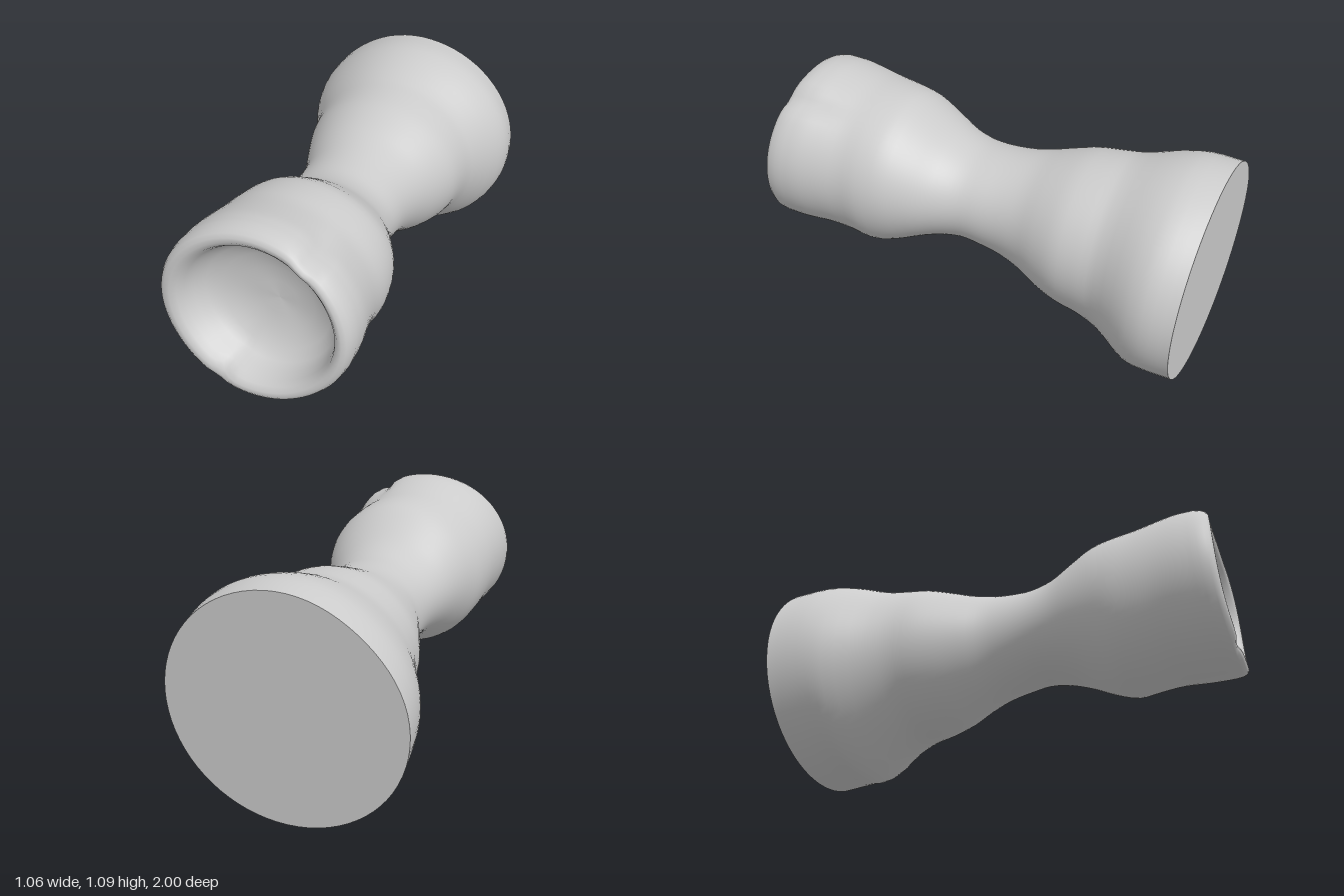
import * as THREE from 'three';

const SEG = 72;

// Outer outline along the axis: z, xMin, xMax, yMin, yMax
const SECTIONS = [
  [-0.978, -0.535, 0.51, 0.0, 0.96],
  [-0.85, -0.515, 0.53, 0.025, 0.98],
  [-0.75, -0.485, 0.51, 0.035, 0.965],
  [-0.6, -0.41, 0.43, 0.13, 0.92],
  [-0.5, -0.37, 0.415, 0.185, 0.912],
  [-0.4, -0.345, 0.405, 0.215, 0.902],
  [-0.3, -0.31, 0.37, 0.25, 0.875],
  [-0.2, -0.27, 0.325, 0.3, 0.845],
  [-0.1, -0.23, 0.3, 0.345, 0.83],
  [0, -0.215, 0.295, 0.375, 0.825],
  [0.1, -0.215, 0.3, 0.395, 0.83],
  [0.2, -0.23, 0.335, 0.39, 0.865],
  [0.3, -0.26, 0.39, 0.365, 0.935],
  [0.4, -0.29, 0.435, 0.325, 1.0],
  [0.5, -0.315, 0.453, 0.297, 1.022],
  [0.6, -0.325, 0.45, 0.31, 1.035],
  [0.7, -0.33, 0.465, 0.327, 1.06],
  [0.8, -0.335, 0.485, 0.33, 1.08],
  [0.89, -0.335, 0.49, 0.335, 1.085],
];

// Lip and shallow hollow: scale of the rim, z, shift of the centre in x and y
const BOWL = [
  [0.985, 0.925, 0, 0], [0.96, 0.943, 0, 0], [0.92, 0.953, 0, 0],
  [0.87, 0.952, 0.003, 0], [0.82, 0.938, 0.008, 0.002], [0.785, 0.91, 0.012, 0],
  [0.75, 0.87, 0.015, -0.005], [0.69, 0.83, 0.02, -0.015],
  [0.57, 0.795, 0.025, -0.025], [0.38, 0.77, 0.025, -0.03],
  [0.2, 0.76, 0.025, -0.03], [0.001, 0.757, 0.025, -0.03],
];

const smooth = THREE.MathUtils.smoothstep;
const bump = (a, centre, width) => {
  const d = Math.atan2(Math.sin(a - centre), Math.cos(a - centre)) / width;
  return Math.exp(-d * d);
};

function makeRings() {
  // Smooth the outer sections with two splines sharing the same parameter
  const xs = new THREE.CatmullRomCurve3(SECTIONS.map(s => new THREE.Vector3(s[1], s[2], s[0])));
  const ys = new THREE.CatmullRomCurve3(SECTIONS.map(s => new THREE.Vector3(s[3], s[4], s[0])));
  const rings = [], n = (SECTIONS.length - 1) * 3;
  for (let i = 0; i <= n; i++) {
    const p = xs.getPoint(i / n), q = ys.getPoint(i / n);
    rings.push({
      z: p.z, cx: (p.x + p.y) / 2, cy: (q.x + q.y) / 2,
      rx: (p.y - p.x) / 2, ry: (q.y - q.x) / 2,
      scale: 1, groove: 1, lip: 0, mouth: smooth(p.z, 0.66, 0.93),
    });
  }
  const rim = rings[rings.length - 1];
  BOWL.forEach(([scale, z, dx, dy], i) => rings.push({
    z, cx: rim.cx + dx, cy: rim.cy + dy, rx: rim.rx * scale, ry: rim.ry * scale,
    scale, groove: Math.max(0, 1 - i * 0.2),
    lip: Math.max(0, 1 - Math.abs(i - 4) / 4), mouth: 1,
  }));
  return rings;
}

function ringPoint(r, a) {
  const c = Math.cos(a), s = Math.sin(a);
  // Groove across the outside of the lip, flatter upper side of the foot
  const dent = 0.065 * bump(a, 0.99, 0.11) * smooth(r.z, 0.58, 0.82) * r.groove
    + 0.03 * bump(a, 2.3, 0.5) * (1 - smooth(r.z, -0.8, -0.2));
  const k = 1 - dent;
  // Slanted foot, slanted and slightly wavy mouth, notch in the lower lip
  const foot = 1 - smooth(r.z, -0.978, -0.7);
  const z = r.z + foot * (0.011 * c - 0.02 * s)
    + r.mouth * r.scale * (-0.045 * s - 0.006 * c + 0.006 * Math.sin(3 * a))
    - 0.03 * r.lip * bump(a, -1.95, 0.1);
  return [r.cx + r.rx * k * c, r.cy + r.ry * k * s, z];
}

function buildSurface(pos, idx) {
  const g = new THREE.BufferGeometry();
  g.setAttribute('position', new THREE.Float32BufferAttribute(pos, 3));
  g.setIndex(idx);
  g.computeVertexNormals();
  return g;
}

function loft(rings) {
  const pos = [], idx = [];
  rings.forEach((r, i) => {
    for (let j = 0; j < SEG; j++) {
      pos.push(...ringPoint(r, (j / SEG) * Math.PI * 2));
      if (i === rings.length - 1) continue;
      const a = i * SEG + j, b = i * SEG + (j + 1) % SEG;
      idx.push(a, b, a + SEG, b, b + SEG, a + SEG);
    }
  });
  return buildSurface(pos, idx);
}

// Flat disc closing the foot, facing backwards
function makeFoot(r) {
  const pos = [r.cx, r.cy, r.z], idx = [];
  for (let j = 0; j < SEG; j++) {
    pos.push(...ringPoint(r, (j / SEG) * Math.PI * 2));
    idx.push(0, 1 + (j + 1) % SEG, 1 + j);
  }
  return buildSurface(pos, idx);
}

export function createModel() {
  const group = new THREE.Group();
  group.name = 'stemmedCup';
  const mat = new THREE.MeshStandardMaterial({ color: 0xcccccc });
  const rings = makeRings();
  const add = (name, geometry) => {
    const m = new THREE.Mesh(geometry, mat);
    m.name = name;
    group.add(m);
  };
  add('cupBody', loft(rings));
  add('footBase', makeFoot(rings[0]));
  return group;
}
